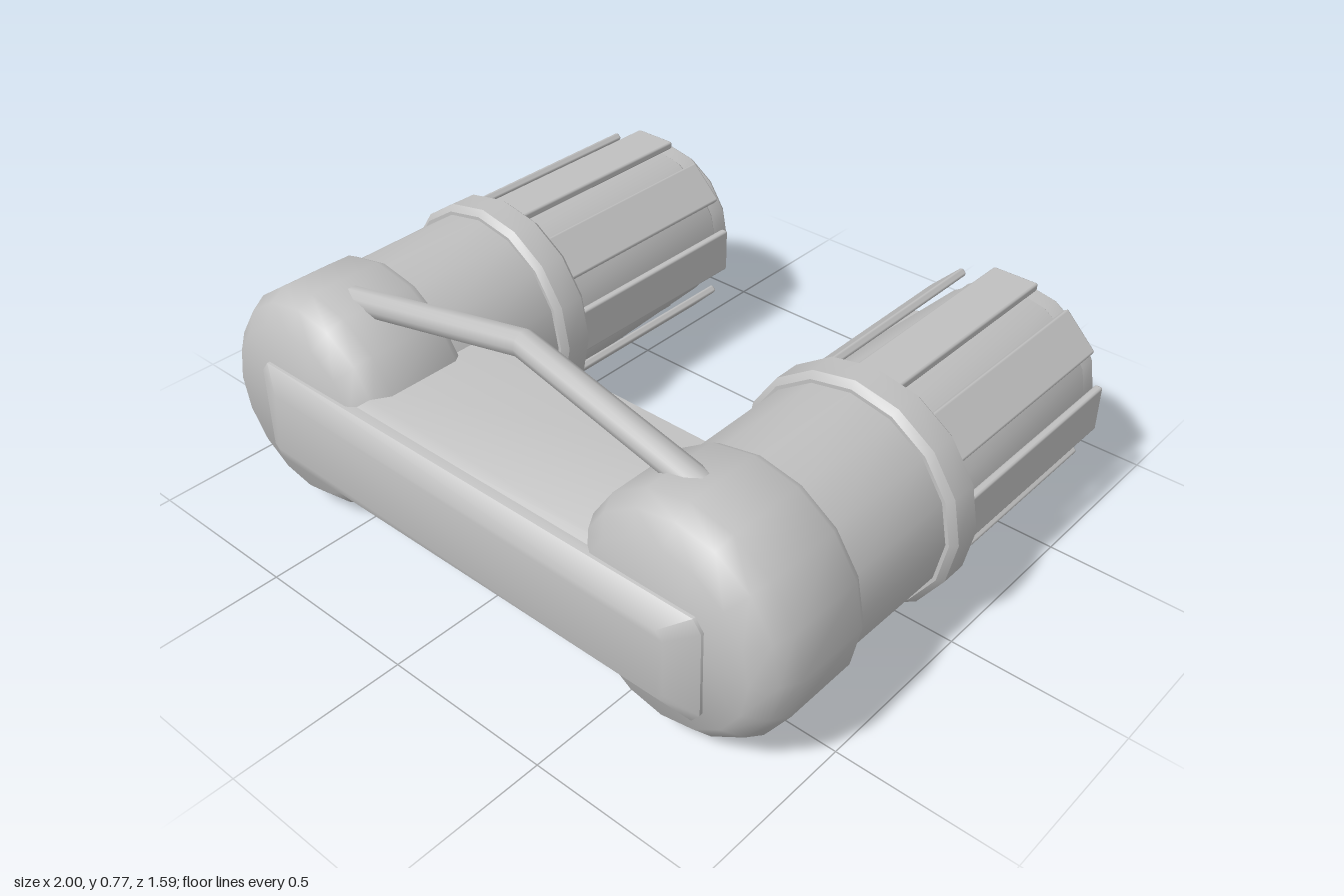
import * as THREE from 'three';
import { toCreasedNormals } from 'three/addons/utils/BufferGeometryUtils.js';
import { RoundedBoxGeometry } from 'three/addons/geometries/RoundedBoxGeometry.js';

const AXIS_X = 0.663, AXIS_Y = 0.337;

const grey = new THREE.MeshStandardMaterial({ color: 0xc0c0c0 });
grey.name = 'grey';

function part(geometry, name, crease = 1) {
  const mesh = new THREE.Mesh(crease ? toCreasedNormals(geometry, crease) : geometry, grey);
  mesh.name = name;
  return mesh;
}

function outline(points) {
  return new THREE.Shape(points.map(([x, y]) => new THREE.Vector2(x, y)));
}

// Surface of revolution about z, from [radius, z] pairs
function turned(profile) {
  const geometry = new THREE.LatheGeometry(profile.map(([r, z]) => new THREE.Vector2(r, z)), 16);
  return geometry.rotateX(Math.PI / 2);
}

// One cylinder: hollow barrel at the back, collar, body and rounded front cap
function createPod() {
  const pod = new THREE.Group();
  pod.add(part(turned([
    [0, -0.38], [0.17, -0.38], [0.17, -0.46], [0.215, -0.46], [0.23, -0.795],
    [0.245, -0.795], [0.252, -0.785], [0.252, -0.73], [0.26, -0.72], [0.292, -0.05],
  ]), 'barrel', 0.6));
  pod.add(part(turned([
    [0.28, -0.068], [0.32, -0.068], [0.337, -0.05], [0.337, 0.03], [0.32, 0.048], [0.29, 0.048],
  ]), 'collar', 0.7));
  pod.add(part(turned([[0.31, 0.03], [0.306, 0.41]]), 'body'));
  pod.add(part(turned([
    [0.29, 0.402], [0.318, 0.402], [0.331, 0.425], [0.331, 0.65], [0.305, 0.7], [0.255, 0.745], [0, 0.748],
  ]), 'frontCap'));

  // Eight straight slats around the tapering barrel
  for (let i = 0; i < 8; i++) {
    const geometry = new RoundedBoxGeometry(0.14, 0.024, 0.67, 1, 0.007);
    geometry.translate(0, 0.294, -0.39).rotateZ(i * Math.PI / 4);
    pod.add(part(geometry, 'slat', 0));
  }
  return pod;
}

export function createModel() {
  const model = new THREE.Group();
  model.name = 'twinCylinderDevice';

  for (const side of [1, -1]) {
    const pod = createPod();
    pod.name = side > 0 ? 'leftPod' : 'rightPod';
    pod.position.set(side * AXIS_X, AXIS_Y, 0);
    model.add(pod);
  }

  // Crossbar: chamfered section run along x
  const section = outline([
    [-0.22, 0.18], [-0.22, 0.405], [-0.255, 0.475], [-0.7, 0.475],
    [-0.75, 0.44], [-0.75, 0.145], [-0.7, 0.11], [-0.255, 0.11],
  ]);
  const bar = new THREE.ExtrudeGeometry(section, { depth: 1.1, bevelEnabled: false });
  bar.translate(0, 0, -0.55).rotateY(Math.PI / 2);
  model.add(part(bar, 'crossbar', 0.9));

  // Front plate: clipped rectangle narrowing toward its face
  const plateShape = outline([
    [-0.79, -0.125], [-0.765, -0.158], [0.765, -0.158], [0.79, -0.125],
    [0.79, 0.125], [0.765, 0.158], [-0.765, 0.158], [-0.79, 0.125],
  ]);
  const plate = new THREE.ExtrudeGeometry(plateShape, { depth: 0.095, steps: 2, bevelEnabled: false });
  const pos = plate.attributes.position;
  for (let i = 0; i < pos.count; i++) {
    const z = pos.getZ(i);
    if (z > 0.09) pos.setXY(i, pos.getX(i) * 0.9, pos.getY(i) * 0.66);
    else if (z > 0.04) pos.setZ(i, 0.055);
  }
  plate.translate(0, 0.298, 0.7);
  model.add(part(plate, 'frontPlate'));

  // Handle: two straight lengths meeting at a raised middle
  const peak = new THREE.Vector3(0, 0.728, 0.507);
  const ends = [-1, 1].map((s) => new THREE.Vector3(s * 0.64, 0.62, 0.55));
  const path = new THREE.CurvePath();
  path.add(new THREE.LineCurve3(ends[0], peak));
  path.add(new THREE.LineCurve3(peak, ends[1]));
  model.add(part(new THREE.TubeGeometry(path, 2, 0.039, 10), 'handle'));

  return model;
}
